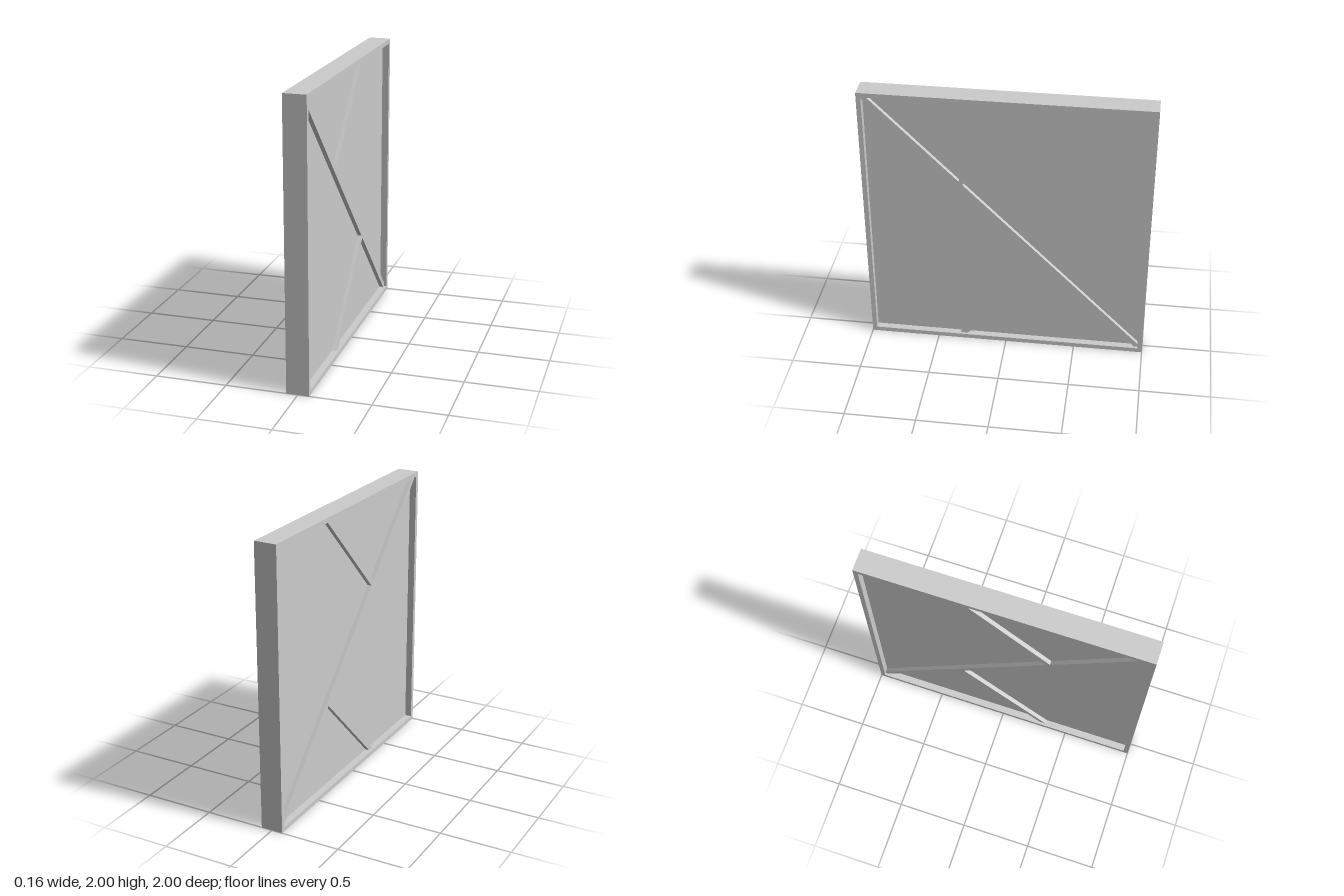
import * as THREE from 'three';

const HALF_DEPTH = 0.079;   // half depth of the frame along x
const RIM = 0.033;          // width of the frame rails
const PANEL_DEPTH = 0.06;
const BRACE_DEPTH = 0.12;   // braces stand proud of the panel on both faces
const BRACE_WIDTH = 0.035;

const material = new THREE.MeshStandardMaterial({ color: 0xcccccc, flatShading: true });

function part(name, geometry, parent) {
  const mesh = new THREE.Mesh(geometry, material);
  mesh.name = name;
  parent.add(mesh);
  return mesh;
}

function square(Type, half) {
  return new Type([[-half, -half], [half, -half], [half, half], [-half, half]]
    .map(([x, y]) => new THREE.Vector2(x, y)));
}

// Straight brace between two [z, y] points
function brace(name, [z1, y1], [z2, y2], parent) {
  const length = Math.hypot(z2 - z1, y2 - y1);
  const mesh = part(name, new THREE.BoxGeometry(BRACE_DEPTH, BRACE_WIDTH, length), parent);
  mesh.position.set(0, (y1 + y2) / 2, (z1 + z2) / 2);
  mesh.rotation.x = -Math.atan2(y2 - y1, z2 - z1);
}

export function createModel() {
  const model = new THREE.Group();
  model.name = 'bracedPanel';

  // Square outer frame, extruded along x
  const outline = square(THREE.Shape, 1);
  outline.holes.push(square(THREE.Path, 1 - RIM));
  const frame = new THREE.ExtrudeGeometry(outline, { depth: 2 * HALF_DEPTH, bevelEnabled: false });
  frame.translate(0, 0, -HALF_DEPTH).rotateY(Math.PI / 2).translate(0, 1, 0);
  part('frame', frame, model);

  // Panel recessed on both faces, its edges set into the frame
  const inner = 2 - RIM;
  part('panel', new THREE.BoxGeometry(PANEL_DEPTH, inner, inner), model).position.y = 1;

  // Corner-to-corner brace, with two short braces at right angles to it
  brace('diagonalBrace', [0.983, 1.983], [-0.983, 0.017], model);
  brace('upperBrace', [-0.325, 1.98], [0.3275, 1.3275], model);
  brace('lowerBrace', [0.325, 0.02], [-0.3275, 0.6725], model);

  return model;
}
